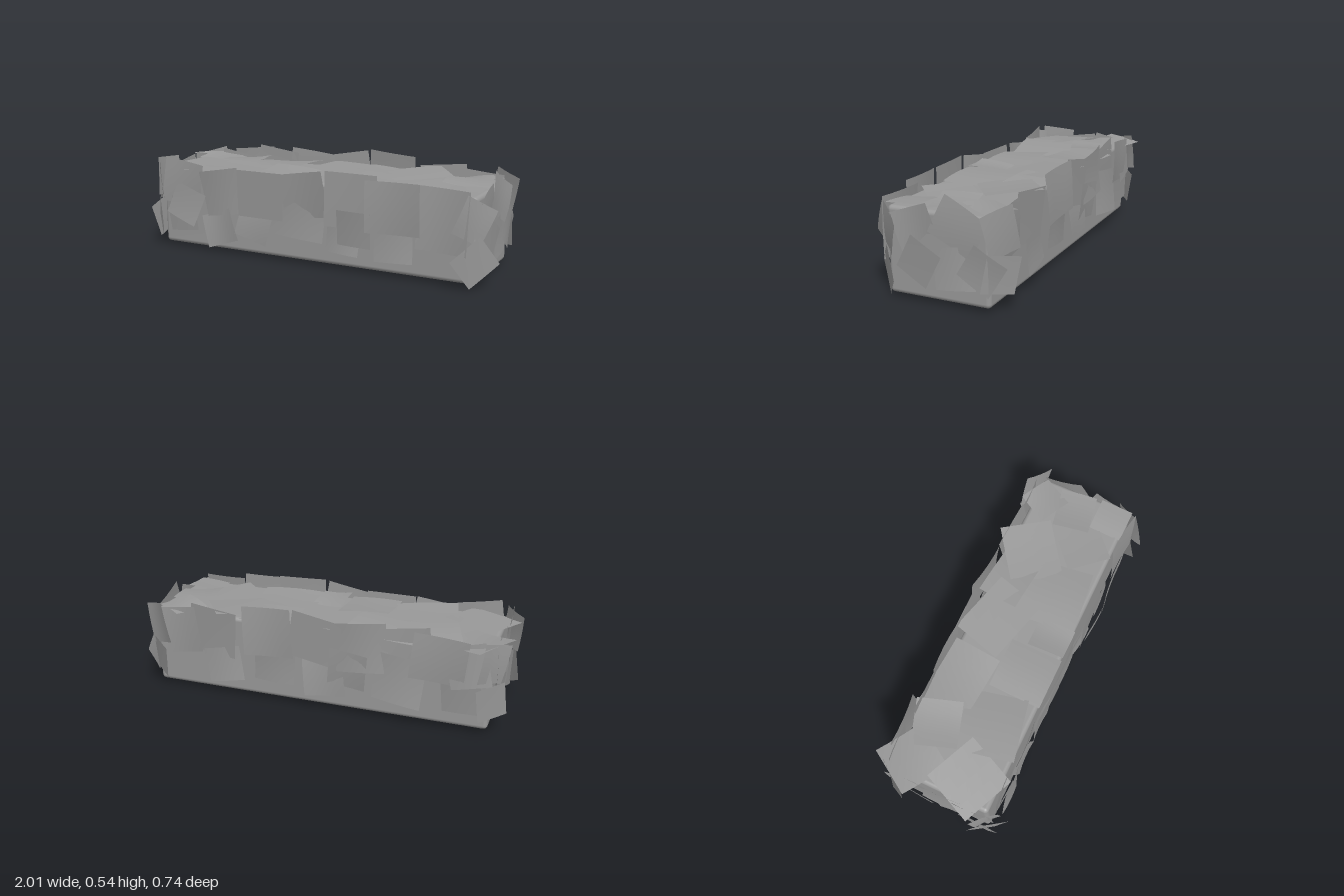
import * as THREE from 'three';
import { RoundedBoxGeometry } from 'three/addons/geometries/RoundedBoxGeometry.js';

const material = new THREE.MeshStandardMaterial({ color: 0x999999, side: THREE.DoubleSide });

// Rounded block, hollow and open underneath
function coreGeometry(w, h, d, r) {
  const g = new RoundedBoxGeometry(w, h, d, 3, r);
  const p = g.attributes.position, n = g.attributes.normal;
  const index = [];
  for (let i = 0; i < p.count; i += 3) {
    const flatBottom = [i, i + 1, i + 2].every((k) => n.getY(k) < -0.9);
    if (!flatBottom) index.push(i, i + 1, i + 2);
  }
  g.clearGroups();
  g.setIndex(index);
  return g;
}

// Gently cupped square of foliage
function leafGeometry(w, h, bend) {
  const g = new THREE.PlaneGeometry(w, h, 4, 4);
  const p = g.attributes.position;
  for (let i = 0; i < p.count; i++) {
    const u = p.getX(i) / w, v = p.getY(i) / h;
    p.setZ(i, bend * (u * u * 2 - v * v + u * v));
  }
  g.computeVertexNormals();
  return g;
}

// A wall of leaf cards facing local +z; rows are [x, y, width, height, roll in degrees, depth]
function foliage(name, rows, tilt = 0.08) {
  const wall = new THREE.Group();
  wall.name = name;
  rows.forEach(([x, y, w, h, roll = 0, depth = 0], i) => {
    const leaf = new THREE.Mesh(leafGeometry(w, h, 0.016 * Math.sin(i * 2.3 + 1)), material);
    leaf.name = 'leafCard';
    leaf.position.set(x, y, depth + 0.004 * (i % 3));
    leaf.rotation.set(tilt * Math.sin(i * 1.7 + 0.5), tilt * Math.cos(i * 2.9), THREE.MathUtils.degToRad(roll));
    wall.add(leaf);
  });
  return wall;
}

export function createModel() {
  const hedge = new THREE.Group();
  hedge.name = 'hedge';

  // Trimmed core
  const core = new THREE.Mesh(coreGeometry(1.82, 0.42, 0.525, 0.022), material);
  core.name = 'core';
  core.position.set(-0.005, 0.23, 0);
  hedge.add(core);

  // Long front side
  const front = foliage('frontFoliage', [
    [-0.77, 0.37, 0.24, 0.25, -9], [-0.78, 0.2, 0.2, 0.2, 7], [-0.735, 0.26, 0.19, 0.19, -22, 0.02],
    [-0.53, 0.14, 0.2, 0.18, 18], [-0.51, 0.34, 0.24, 0.25, 9], [-0.26, 0.35, 0.28, 0.25, 0, 0.01],
    [-0.31, 0.18, 0.2, 0.17, -15], [-0.05, 0.265, 0.33, 0.25, -4], [0, 0.37, 0.26, 0.24, 9],
    [0.27, 0.37, 0.28, 0.28, -1, 0.02], [0.22, 0.18, 0.19, 0.18, -3], [0.505, 0.36, 0.28, 0.26, 0, 0.035],
    [0.3, 0.235, 0.19, 0.18, 0, 0.045], [0.495, 0.16, 0.2, 0.16, 2], [0.75, 0.32, 0.26, 0.31, -2],
  ]);
  front.position.z = 0.278;

  // Long back side, local x runs towards the model's right
  const back = foliage('backFoliage', [
    [-0.75, 0.34, 0.22, 0.26, 6], [-0.55, 0.36, 0.27, 0.26, -6], [-0.49, 0.18, 0.2, 0.19, 10],
    [-0.23, 0.4, 0.28, 0.26, 4, 0.02], [-0.2, 0.22, 0.22, 0.21, -4], [0.02, 0.39, 0.27, 0.25, -10],
    [0.07, 0.19, 0.22, 0.21, 6], [0.27, 0.38, 0.28, 0.26, 6, 0.01], [0.2, 0.25, 0.2, 0.2, -6],
    [0.5, 0.4, 0.26, 0.22, 8], [0.47, 0.24, 0.26, 0.25, -6, 0.02], [0.67, 0.38, 0.27, 0.24, -6, 0.02],
    [0.78, 0.2, 0.2, 0.2, 4], [0.81, 0.36, 0.2, 0.22, 12, 0.01],
  ]);
  back.rotation.y = Math.PI;
  back.position.z = -0.285;

  // Top, local y runs towards the back
  const top = foliage('topFoliage', [
    [-0.83, 0.19, 0.26, 0.26, -32], [-0.8, -0.11, 0.29, 0.29, -24], [-0.51, -0.09, 0.33, 0.31, 12],
    [-0.37, 0.16, 0.38, 0.26, -5], [-0.19, -0.13, 0.28, 0.28, 0], [0.03, 0.13, 0.36, 0.27, -15],
    [0.04, -0.17, 0.16, 0.2, 0], [0.27, -0.08, 0.35, 0.33, 6], [0.44, 0.13, 0.34, 0.28, 36],
    [0.6, -0.1, 0.24, 0.24, 42], [0.77, 0.2, 0.18, 0.19, -30], [0.77, 0.02, 0.23, 0.2, 10],
    [0.81, -0.18, 0.18, 0.18, 0], [0.26, 0.17, 0.28, 0.22, -5], [-0.62, 0.16, 0.24, 0.24, 18],
  ], 0.07);
  top.rotation.x = -Math.PI / 2;
  top.position.y = 0.452;

  // Short ends
  const right = foliage('rightEndFoliage', [
    [-0.11, 0.35, 0.2, 0.2, 19], [-0.09, 0.2, 0.18, 0.19, -29, 0.01], [0.09, 0.19, 0.2, 0.2, 6],
    [0.11, 0.38, 0.25, 0.2, -26], [0.23, 0.2, 0.18, 0.18, -32, 0.01],
  ]);
  right.rotation.y = Math.PI / 2;
  right.position.x = 0.91;

  const left = foliage('leftEndFoliage', [
    [-0.16, 0.36, 0.22, 0.21, 12], [-0.14, 0.18, 0.2, 0.19, -14, 0.01], [0.04, 0.35, 0.24, 0.22, -8],
    [0.07, 0.18, 0.2, 0.2, 8], [0.19, 0.39, 0.2, 0.21, 4], [0.21, 0.17, 0.19, 0.19, -20, 0.01],
  ]);
  left.rotation.y = -Math.PI / 2;
  left.position.x = -0.932;

  hedge.add(front, back, top, right, left);

  // Corner clumps: [name, x, z, yaw in degrees, leaf rows]
  const corners = [
    ['frontRightCorner', 0.895, 0.268, 48, [[0, 0.33, 0.19, 0.19, -28], [0.01, 0.13, 0.19, 0.18, 38]]],
    ['backRightCorner', 0.87, -0.298, 146, [[0, 0.37, 0.17, 0.22, 14], [0, 0.18, 0.17, 0.18, -10]]],
    ['frontLeftCorner', -0.935, 0.262, -50, [[0, 0.37, 0.15, 0.2, 8], [0, 0.16, 0.17, 0.17, -25]]],
    ['backLeftCorner', -0.925, -0.272, -135, [[0, 0.38, 0.16, 0.2, -12], [0, 0.18, 0.16, 0.18, 10]]],
  ];
  for (const [name, x, z, yaw, rows] of corners) {
    const clump = foliage(name, rows);
    clump.position.set(x, 0, z);
    clump.rotation.y = THREE.MathUtils.degToRad(yaw);
    hedge.add(clump);
  }
  return hedge;
}
